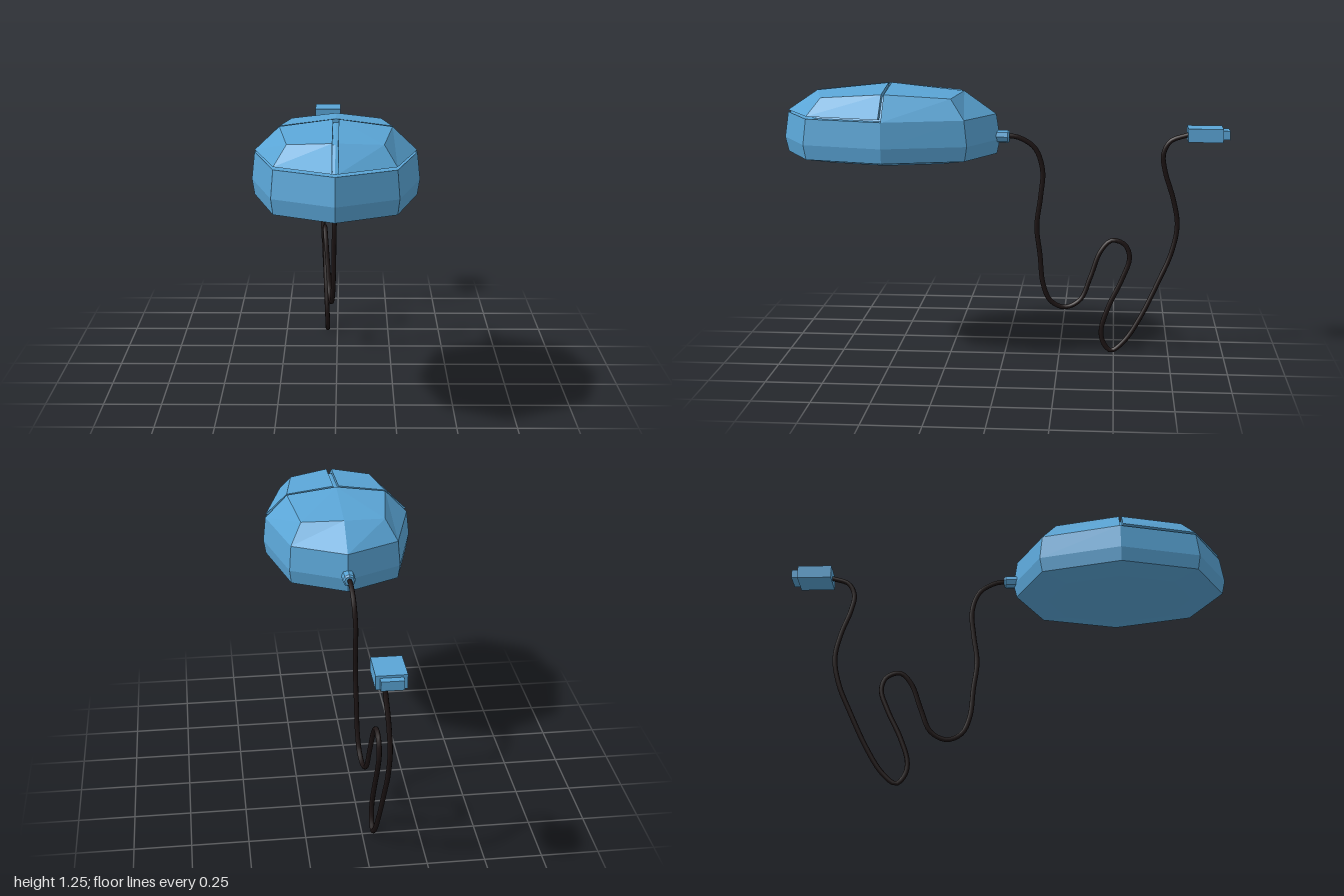
import * as THREE from 'three';

const blue = new THREE.MeshStandardMaterial({ color: 0x5aa5d6, flatShading: true });
const dark = new THREE.MeshStandardMaterial({ color: 0x1c1414 });
const MID_Z = 0.505;

// Eight-sided outline seen from above, starting at the nose and running towards +x
const OUTLINE = [[0, 0.49], [0.25, 0.355], [0.345, 0], [0.25, -0.36], [0, -0.485],
  [-0.25, -0.36], [-0.345, 0], [-0.25, 0.355]];
const ring = (y, s) => OUTLINE.map(([x, z]) => [x * s, y, MID_Z + z * s]);

// Upper shoulder ring, where the sloping sides meet the crown
const SHOULDER = [[0, 1.215, 0.84], [0.19, 1.2, 0.79], [0.23, 1.22, MID_Z], [0.19, 1.2, 0.22],
  [0, 1.215, 0.18], [-0.19, 1.2, 0.22], [-0.23, 1.22, MID_Z], [-0.19, 1.2, 0.79]];
const APEX = [0, 1.25, MID_Z];

const inset = ([x, y, z]) => [x * 0.9, 1.1 + (y - 1.1) * 0.9, MID_Z + (z - MID_Z) * 0.9];

function facets(name, build) {
  const pos = [];
  const tri = (a, b, c) => pos.push(...a, ...b, ...c);
  const strip = (a, b, closed) => {
    const n = a.length;
    for (let i = 0; i < (closed ? n : n - 1); i++) {
      const j = (i + 1) % n;
      tri(a[i], a[j], b[j]);
      tri(a[i], b[j], b[i]);
    }
  };
  build(tri, strip);
  const geo = new THREE.BufferGeometry();
  geo.setAttribute('position', new THREE.Float32BufferAttribute(pos, 3));
  geo.computeVertexNormals();
  const mesh = new THREE.Mesh(geo, blue);
  mesh.name = name;
  return mesh;
}

// One cover panel: sloping side, crown and walls going down into the grooves
function panel(name, rim, mid, apex) {
  return facets(name, (tri, strip) => {
    strip(rim, mid, false);
    for (let i = 0; i < mid.length - 1; i++) tri(mid[i], mid[i + 1], apex);
    const edge = [...rim, mid[mid.length - 1], apex, mid[0]];
    strip(edge.map(inset), edge, true);
  });
}

function createMouse() {
  const mouse = new THREE.Group();
  mouse.name = 'mouse';

  // Lower body with a shallow underside
  mouse.add(facets('lowerBody', (tri, strip) => {
    const rings = [ring(0.912, 0.68), ring(0.935, 0.97), ring(1.0, 1), ring(1.113, 0.965), ring(1.113, 0.86)];
    for (let i = 0; i < rings.length - 1; i++) strip(rings[i], rings[i + 1], true);
    for (let i = 0; i < 8; i++) tri(rings[0][(i + 1) % 8], rings[0][i], [0, 0.907, MID_Z]);
  }));

  // Inner core forming the groove floors
  mouse.add(facets('innerCore', (tri, strip) => {
    const rim = ring(1.11, 0.96).map(inset), mid = SHOULDER.map(inset), top = inset(APEX);
    strip(rim, mid, true);
    for (let i = 0; i < 8; i++) tri(mid[i], mid[(i + 1) % 8], top);
  }));

  // Rear palm cover
  const rear = [2, 3, 4, 5, 6];
  const rearRim = ring(1.113, 0.965);
  mouse.add(panel('palmCover', rear.map(i => rearRim[i]), rear.map(i => SHOULDER[i]), APEX));

  // Two front buttons separated by a centre groove
  const buttonRim = ring(1.124, 0.96);
  for (const [name, side, ids] of [['leftButton', 1, [0, 1, 2]], ['rightButton', -1, [6, 7, 0]]]) {
    const shift = ([x, y, z]) => [x || side * 0.012, y, Math.max(z, 0.517)];
    mouse.add(panel(name, ids.map(i => shift(buttonRim[i])), ids.map(i => shift(SHOULDER[i])), shift(APEX)));
  }
  return mouse;
}

function createCable() {
  // Hanging cable, looping from the body to the plug
  const path = [
    [0, 1.015, 0.0], [-0.003, 1.008, -0.06], [-0.006, 0.96, -0.135], [-0.01, 0.86, -0.17],
    [-0.01, 0.74, -0.162], [-0.013, 0.6, -0.145], [-0.015, 0.47, -0.16], [-0.018, 0.33, -0.175],
    [-0.023, 0.25, -0.21], [-0.03, 0.22, -0.275], [-0.037, 0.255, -0.345], [-0.045, 0.36, -0.39],
    [-0.055, 0.48, -0.435], [-0.06, 0.53, -0.485], [-0.063, 0.51, -0.545], [-0.063, 0.45, -0.567],
    [-0.06, 0.35, -0.535], [-0.055, 0.22, -0.475], [-0.05, 0.11, -0.442], [-0.048, 0.05, -0.452],
    [-0.048, 0.012, -0.488], [-0.05, 0.06, -0.55], [-0.056, 0.17, -0.62], [-0.067, 0.35, -0.705],
    [-0.074, 0.47, -0.755], [-0.077, 0.6, -0.78], [-0.072, 0.72, -0.76], [-0.062, 0.85, -0.72],
    [-0.056, 0.93, -0.71], [-0.054, 0.99, -0.74], [-0.053, 1.02, -0.82],
  ].map(p => new THREE.Vector3(...p));
  const cable = new THREE.Mesh(
    new THREE.TubeGeometry(new THREE.CatmullRomCurve3(path), 160, 0.011, 8), dark);
  cable.name = 'cable';
  return cable;
}

function box(name, w, h, d, x, y, z) {
  const mesh = new THREE.Mesh(new THREE.BoxGeometry(w, h, d), blue);
  mesh.position.set(x, y, z);
  mesh.name = name;
  return mesh;
}

export function createModel() {
  const model = new THREE.Group();
  model.name = 'computerMouse';
  model.add(createMouse(), createCable());

  // Collar where the cable leaves the body
  const profile = [[0, -0.04], [0.029, -0.04], [0.029, 0.02], [0.022, 0.028], [0, 0.028]];
  const collar = new THREE.Mesh(
    new THREE.LatheGeometry(profile.map(p => new THREE.Vector2(...p)), 8), blue);
  collar.rotation.x = -Math.PI / 2;
  collar.position.set(0, 1.012, 0.005);
  collar.name = 'cableCollar';
  model.add(collar);

  // Plug with a narrower tip
  const plug = new THREE.Group();
  plug.name = 'plug';
  plug.add(box('plugBody', 0.125, 0.06, 0.155, -0.05, 1.025, -0.8925),
    box('plugTip', 0.092, 0.04, 0.04, -0.05, 1.025, -0.98));
  model.add(plug);
  return model;
}
